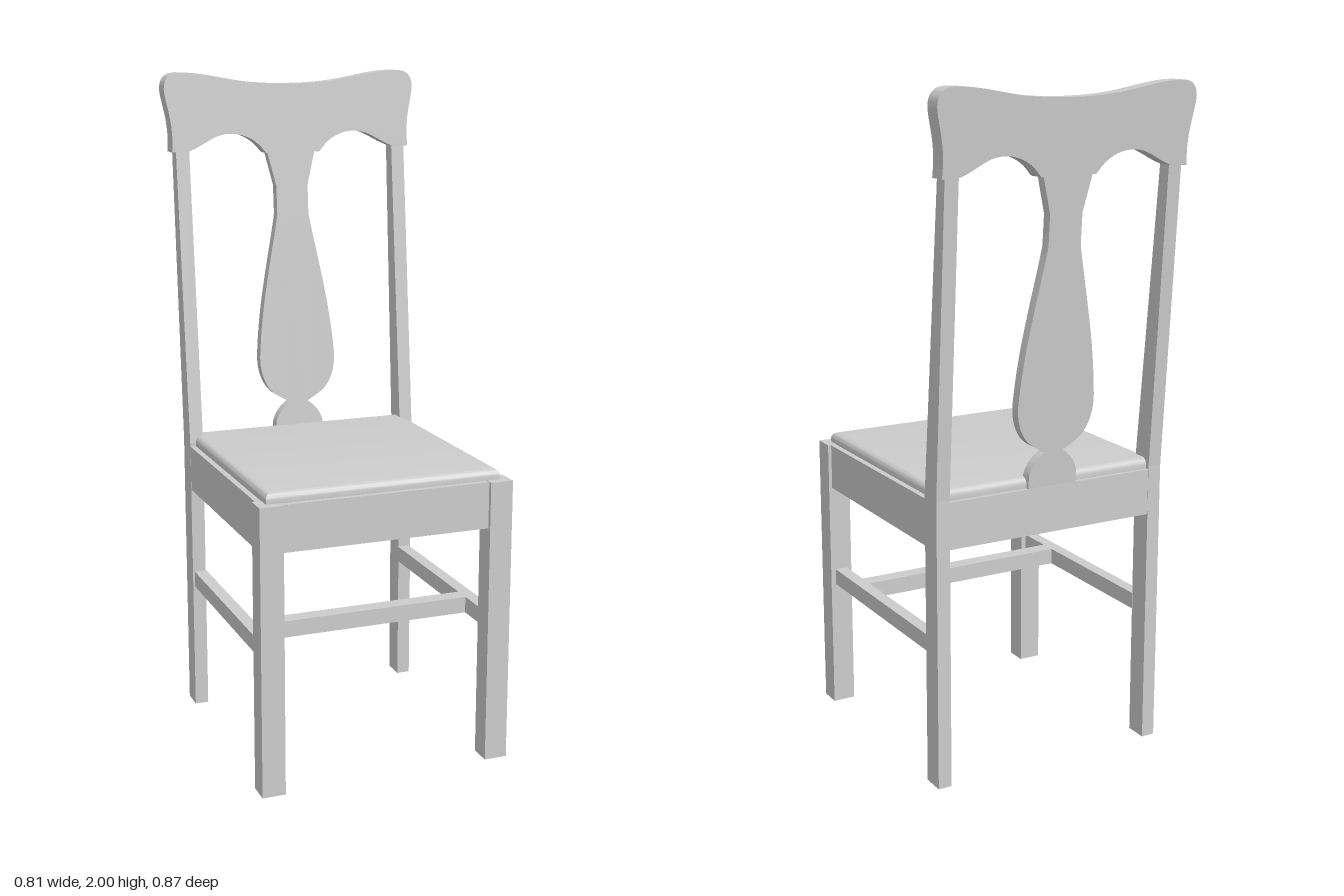
import * as THREE from 'three';
import { toCreasedNormals } from 'three/addons/utils/BufferGeometryUtils.js';

const material = new THREE.MeshStandardMaterial({ color: 0xcccccc });

export function createModel() {
  const chair = new THREE.Group();

  const add = (name, geometry) => {
    const mesh = new THREE.Mesh(geometry, material);
    mesh.name = name;
    chair.add(mesh);
    return mesh;
  };

  // Box given by its extents on each axis
  const box = (name, [x0, x1], [y0, y1], [z0, z1]) => {
    const mesh = add(name, new THREE.BoxGeometry(x1 - x0, y1 - y0, z1 - z0));
    mesh.position.set((x0 + x1) / 2, (y0 + y1) / 2, (z0 + z1) / 2);
  };

  // Upright board: front face at z = front when y = baseY, leaning back by slope
  const leaningBoard = (name, shape, thickness, front, baseY, slope) => {
    const g = new THREE.ExtrudeGeometry(shape, { depth: thickness, bevelEnabled: false });
    const p = g.attributes.position;
    for (let i = 0; i < p.count; i++) {
      p.setZ(i, p.getZ(i) + front - thickness - slope * (p.getY(i) - baseY));
    }
    add(name, toCreasedNormals(g, 0.6));
  };

  const points = (list) => list.map(([x, y]) => new THREE.Vector2(x, y));

  // Closed shape from a right-hand outline and its mirror image
  const symmetricShape = (path) => {
    const right = path.getPoints(10).map((p) => [p.x, p.y]);
    const left = right.filter(([x]) => x > 0).map(([x, y]) => [-x, y]).reverse();
    return new THREE.Shape(points([...right, ...left]));
  };

  for (const side of [-1, 1]) {
    const label = side > 0 ? 'left' : 'right';
    const span = (a, b) => (side > 0 ? [a, b] : [-b, -a]);

    // Front leg, side apron and side stretcher
    box(label + 'FrontLeg', span(0.316, 0.386), [0, 0.862], [0.365, 0.433]);
    box(label + 'Apron', span(0.338, 0.3755), [0.722, 0.861], [-0.28, 0.37]);
    box(label + 'Stretcher', span(0.332, 0.37), [0.4, 0.45], [-0.28, 0.37]);

    // Rear leg running up into the leaning back post
    const profile = new THREE.Shape(points([
      [0.275, 0], [0.345, 0], [0.345, 0.87], [0.41, 1.79], [0.368, 1.79], [0.275, 0.87],
    ]));
    const post = new THREE.ExtrudeGeometry(profile, { depth: 0.042, bevelEnabled: false });
    post.rotateY(Math.PI / 2);
    add(label + 'RearLegAndPost', post).position.x = side > 0 ? 0.334 : -0.376;
  }

  // Front and rear aprons, cross stretcher
  box('frontApron', [-0.32, 0.32], [0.722, 0.861], [0.385, 0.421]);
  box('rearApron', [-0.34, 0.34], [0.722, 0.861], [-0.344, -0.308]);
  box('crossStretcher', [-0.335, 0.335], [0.4, 0.45], [0.195, 0.245]);

  // Seat pad with a softened rim, let down between the aprons
  const r = 0.02;
  const depth = 0.035;
  const [sx, zBack, zFront] = [0.358 - r, -0.332 + r, 0.405 - r];
  const seatShape = new THREE.Shape(points([[-sx, -zFront], [sx, -zFront], [sx, -zBack], [-sx, -zBack]]));
  const seat = new THREE.ExtrudeGeometry(seatShape, {
    depth, bevelThickness: r, bevelSize: r, bevelSegments: 5,
  });
  seat.rotateX(-Math.PI / 2);
  add('seat', toCreasedNormals(seat, 0.6)).position.y = 0.893 - depth - r;

  // Vase-shaped back splat
  const splat = new THREE.Path();
  splat.moveTo(0.079, 0.855);
  splat.lineTo(0.079, 0.9);
  splat.quadraticCurveTo(0.07, 0.938, 0.03, 0.966);
  splat.bezierCurveTo(0.055, 0.982, 0.085, 0.99, 0.105, 1.025);
  splat.quadraticCurveTo(0.13, 1.07, 0.124, 1.13);
  splat.bezierCurveTo(0.113, 1.29, 0.075, 1.43, 0.052, 1.56);
  splat.lineTo(0.052, 1.65);
  splat.lineTo(0.077, 1.75);
  splat.lineTo(0.077, 1.77);
  leaningBoard('backSplat', symmetricShape(splat), 0.032, -0.313, 0.89, 0.078);

  // Crest rail with a dipped top and twin arches below
  const crest = new THREE.Path();
  crest.moveTo(0.087, 1.753);
  crest.lineTo(0.095, 1.762);
  crest.bezierCurveTo(0.12, 1.795, 0.16, 1.815, 0.203, 1.815);
  crest.bezierCurveTo(0.255, 1.815, 0.28, 1.785, 0.335, 1.765);
  crest.lineTo(0.388, 1.763);
  crest.bezierCurveTo(0.38, 1.86, 0.403, 1.9, 0.407, 1.95);
  crest.quadraticCurveTo(0.406, 1.998, 0.36, 2);
  crest.bezierCurveTo(0.24, 2, 0.2, 1.963, 0, 1.963);
  leaningBoard('crestRail', symmetricShape(crest), 0.055, -0.361, 1.757, 0.07);

  return chair;
}
